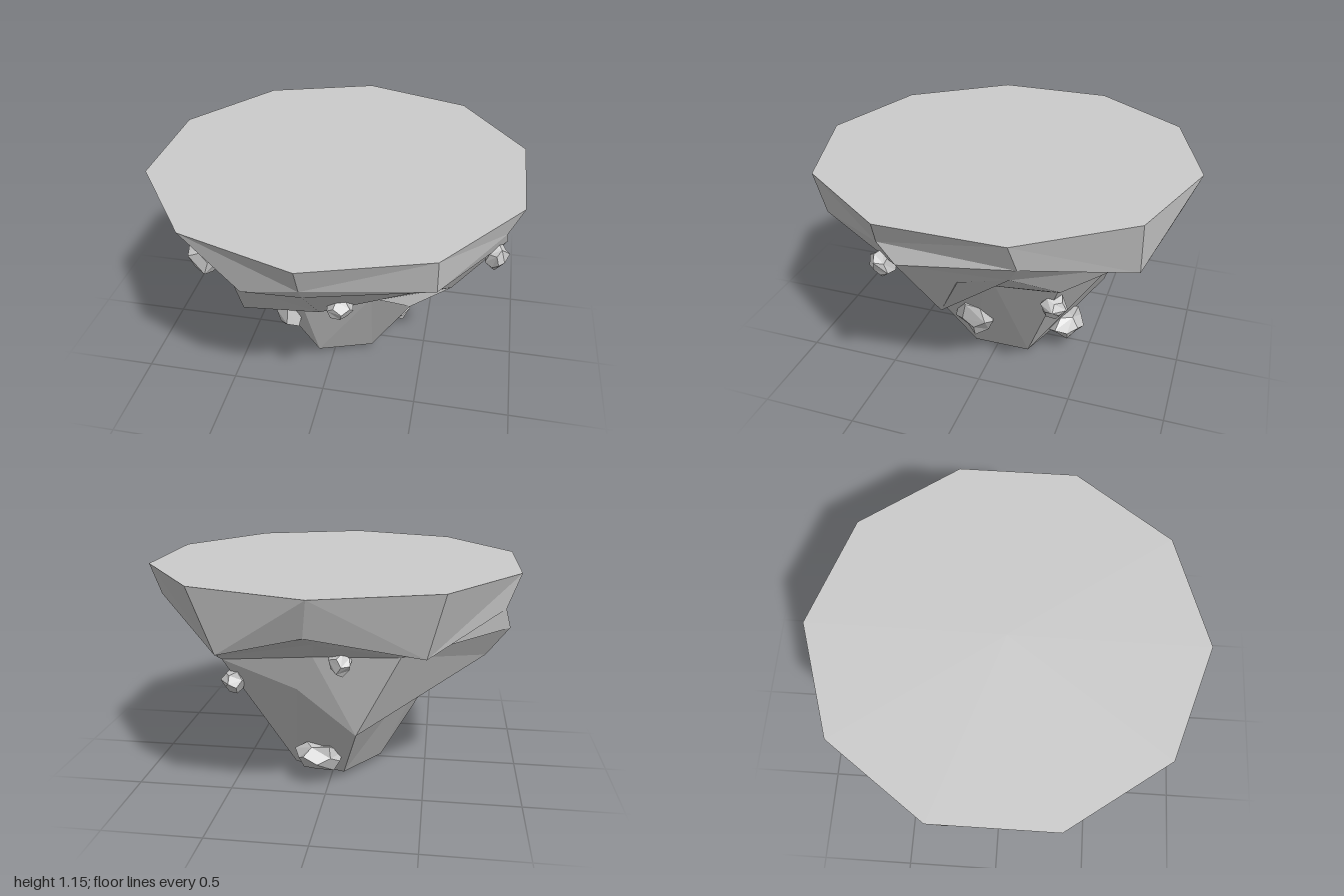
import * as THREE from 'three';

const SIDES = 10;

// Flat-shaded mesh from a list of triangle corners
function facetMesh(name, corners, material) {
  const geometry = new THREE.BufferGeometry();
  geometry.setAttribute('position', new THREE.Float32BufferAttribute(corners.flat(), 3));
  geometry.computeVertexNormals();
  const mesh = new THREE.Mesh(geometry, material);
  mesh.name = name;
  return mesh;
}

// Band of facets between two closed rings, with alternating diagonals
function band(upper, lower) {
  const out = [];
  for (let k = 0; k < SIDES; k++) {
    const n = (k + 1) % SIDES;
    const [a, b, c, d] = [upper[k], lower[k], lower[n], upper[n]];
    if (k % 2) out.push(a, b, c, a, c, d);
    else out.push(a, b, d, b, c, d);
  }
  return out;
}

export function createModel() {
  const group = new THREE.Group();
  group.name = 'floatingRockIsland';
  const material = new THREE.MeshStandardMaterial({ color: 0xcccccc, flatShading: true, side: THREE.DoubleSide });

  // Rings run from +z towards +x: rim, overhanging brow, its inner edge, lower lip, core
  const rim = Array.from({ length: SIDES }, (_, k) => {
    const a = (k * Math.PI * 2) / SIDES;
    return [0.985 * Math.sin(a), 1.15, Math.cos(a)];
  });
  const brow = [
    [0, 1.0, 0.93], [0.58, 0.95, 0.75], [0.87, 1.02, 0.33], [0.87, 1.0, -0.33], [0.46, 0.83, -0.8],
    [0.03, 0.96, -0.92], [-0.5, 0.82, -0.71], [-0.87, 0.98, -0.34], [-0.89, 1.0, 0.28], [-0.3, 0.88, 0.83],
  ];
  const inner = [
    [0, 0.93, 0.88], [0.47, 0.86, 0.66], [0.88, 0.92, 0.24], [0.82, 0.91, -0.28], [0.46, 0.83, -0.69],
    [0, 0.91, -0.83], [-0.46, 0.83, -0.65], [-0.9, 0.87, -0.28], [-0.86, 0.87, 0.27], [-0.36, 0.85, 0.75],
  ];
  const lip = [
    [0.02, 0.65, 0.63], [0.28, 0.61, 0.43], [0.63, 0.52, 0.14], [0.81, 0.84, -0.03], [0.56, 0.71, -0.45],
    [0.03, 0.8, -0.67], [-0.38, 0.8, -0.63], [-0.79, 0.71, -0.23], [-0.61, 0.69, 0.28], [-0.42, 0.49, 0.48],
  ];
  const waist = [
    [-0.16, 0.63, 0.42], [0.24, 0.59, 0.4], [0.43, 0.48, 0.29], [0.63, 0.82, -0.1], [0.54, 0.69, -0.43],
    [0.12, 0.61, -0.6], [-0.16, 0.35, -0.53], [-0.55, 0.75, -0.28], [-0.6, 0.66, -0.06], [-0.37, 0.47, 0.26],
  ];

  // Pentagonal foot, with a point halfway along each edge
  const foot = [[-0.08, 0.22], [0.21, 0.12], [0.21, -0.19], [-0.07, -0.29], [-0.25, -0.03]];
  const base = foot.flatMap(([x, z], i) => {
    const [nx, nz] = foot[(i + 1) % 5];
    return [[x, 0.03, z], [(x + nx) / 2, 0.03, (z + nz) / 2]];
  });

  const top = [], tip = [];
  for (let k = 0; k < SIDES; k++) {
    const n = (k + 1) % SIDES;
    top.push([0, 1.15, 0], rim[k], rim[n]);
    tip.push(base[k], [0, 0, -0.04], base[n]);
  }
  group.add(
    facetMesh('topSurface', top, material),
    facetMesh('overhangingBrow', [...band(rim, brow), ...band(brow, inner)], material),
    facetMesh('lowerCliff', band(inner, lip), material),
    facetMesh('rockCore', [...band(lip, waist), ...band(waist, base)], material),
    facetMesh('bottomTip', tip, material),
  );

  // Small boulders stuck in the cliff: position, then half sizes
  const boulders = [
    [-0.23, 0.34, 0.26, 0.09, 0.12, 0.08],
    [-0.61, 0.78, 0.44, 0.09, 0.11, 0.09],
    [0.13, 0.75, 0.69, 0.065, 0.06, 0.06],
    [0.83, 0.89, 0.33, 0.06, 0.075, 0.065],
    [0.36, 0.35, 0.06, 0.07, 0.14, 0.11],
    [0.49, 0.57, -0.4, 0.06, 0.065, 0.07],
    [0.05, 0.16, -0.37, 0.13, 0.08, 0.1],
    [-0.47, 0.55, -0.22, 0.06, 0.06, 0.06],
    [-0.1, 0.77, -0.65, 0.06, 0.06, 0.06],
  ];
  boulders.forEach(([x, y, z, sx, sy, sz], i) => {
    const geometry = new THREE.DodecahedronGeometry(1, 0);
    const p = geometry.attributes.position;
    // Uneven lumps that depend only on position, so facets stay joined
    for (let v = 0; v < p.count; v++) {
      const s = 1 + 0.13 * Math.sin(3 * p.getX(v) + 5 * p.getY(v) + 4 * p.getZ(v) + i * 2);
      p.setXYZ(v, p.getX(v) * s, p.getY(v) * s, p.getZ(v) * s);
    }
    geometry.rotateY(i * 1.3).rotateX(i * 0.7).scale(sx, sy, sz);
    geometry.computeVertexNormals();
    const boulder = new THREE.Mesh(geometry, material);
    boulder.name = `boulder${i + 1}`;
    boulder.position.set(x, y, z);
    group.add(boulder);
  });
  return group;
}
